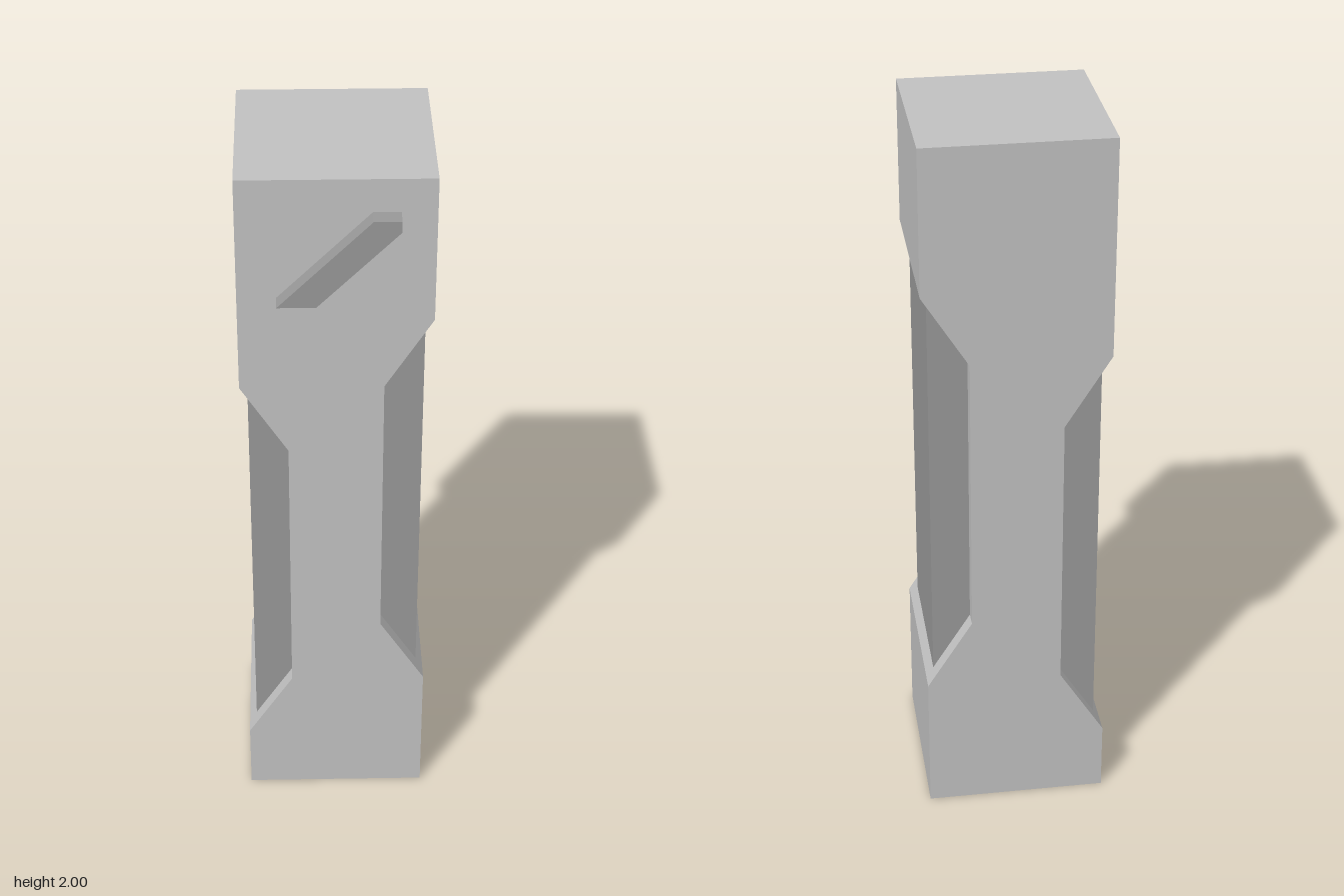
import * as THREE from 'three';

const BACK = -0.275, FRONT = 0.225, MID = -0.025;

function shapeFrom(points) {
  return new THREE.Shape(points.map(([x, y]) => new THREE.Vector2(x, y)));
}

function slab(points, z0, z1) {
  const geometry = new THREE.ExtrudeGeometry(shapeFrom(points), { depth: z1 - z0, bevelEnabled: false });
  return geometry.translate(0, 0, z0);
}

function square(half) {
  return [[-half, -half], [half, -half], [half, half], [-half, half]];
}

export function createModel() {
  const model = new THREE.Group();
  const lightGrey = new THREE.MeshStandardMaterial({ color: 0xc2c2c2 });
  lightGrey.name = 'lightGrey';
  const midGrey = new THREE.MeshStandardMaterial({ color: 0x999999 });
  midGrey.name = 'midGrey';

  function add(name, geometry, material) {
    const mesh = new THREE.Mesh(geometry, material);
    mesh.name = name;
    model.add(mesh);
    return mesh;
  }

  // Tall casing with a staggered, sloped notch on each side
  add('casing', slab([
    [-0.25, 0.2], [0.25, 0.2], [0.25, 0.4], [0.125, 0.6], [0.125, 1.4], [0.25, 1.6],
    [0.25, 2], [-0.25, 2], [-0.25, 1.4], [-0.125, 1.2], [-0.125, 0.4],
  ], BACK, FRONT), lightGrey);

  // Hollow foot, open underneath
  const foot = shapeFrom(square(0.25));
  foot.holes.push(new THREE.Path(square(0.205).map(([x, y]) => new THREE.Vector2(x, y))));
  const footGeometry = new THREE.ExtrudeGeometry(foot, { depth: 0.2, bevelEnabled: false });
  footGeometry.rotateX(-Math.PI / 2).translate(0, 0, MID);
  add('hollowFoot', footGeometry, lightGrey);

  // Inset panels filling the notches
  for (const [name, side, y] of [['leftPanel', 1, 1], ['rightPanel', -1, 0.8]]) {
    const panel = new THREE.BoxGeometry(0.13, 1.18, 0.41);
    add(name, panel.translate(side * 0.165, y, MID), midGrey);
  }

  // Plain raised diagonal bar on the upper front
  add('raisedBar', slab([
    [-0.15, 1.67], [-0.05, 1.67], [0.16, 1.88], [0.16, 1.91], [0.09, 1.91],
  ], FRONT, 0.275), midGrey);

  return model;
}
